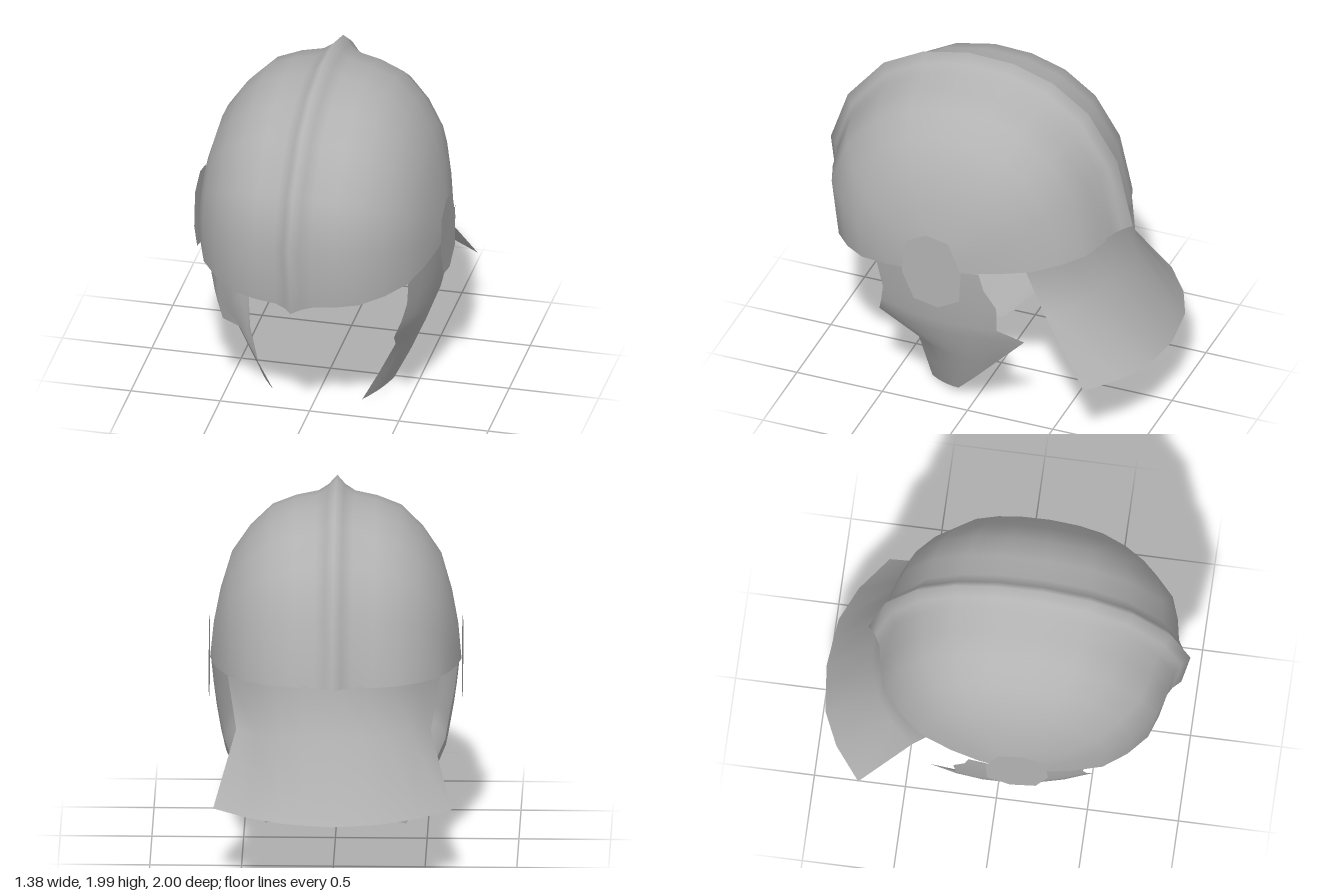
import * as THREE from 'three';
import { mergeVertices } from 'three/addons/utils/BufferGeometryUtils.js';

const steel = new THREE.MeshStandardMaterial({ color: 0xb2b2b2, side: THREE.DoubleSide });
steel.name = 'steel grey';

// Smooth open sheet from rows of [x, y, z] points
function sheet(name, rows) {
  const n = rows[0].length, index = [];
  for (let i = 0; i < rows.length - 1; i++) {
    for (let j = 0; j < n - 1; j++) {
      const a = i * n + j, b = a + 1, c = a + n, d = c + 1;
      index.push(a, b, c, b, d, c);
    }
  }
  let geo = new THREE.BufferGeometry();
  geo.setAttribute('position', new THREE.Float32BufferAttribute(rows.flat(2), 3));
  geo.setIndex(index);
  geo = mergeVertices(geo, 1e-4);
  geo.computeVertexNormals();
  const mesh = new THREE.Mesh(geo, steel);
  mesh.name = name;
  return mesh;
}

// Mirror a half row (outer point first, centre last) to a full row from -x to +x
const mirrorRow = (half) => [
  ...half.map(([x, y, z]) => [-x, y, z]),
  ...half.slice(0, -1).reverse(),
];

// Linear interpolation through [key, value] pairs sorted by key
function lookup(table, t) {
  for (let i = 1; i < table.length; i++) {
    const [k0, v0] = table[i - 1], [k1, v1] = table[i];
    if (t <= k1) return v0 + (v1 - v0) * Math.max(0, (t - k0) / (k1 - k0));
  }
  return table[table.length - 1][1];
}

// Bowl: the crest line shrinks toward a pole on each side, with a raised ridge at x = 0
function bowl() {
  const cy = 1.0, cz = 0.1;
  const crest = [
    [0.95, 0.84], [1.0, 1.24], [0.9, 1.54], [0.69, 1.8], [0.46, 1.93], [0.19, 1.99],
    [-0.07, 1.98], [-0.3, 1.91], [-0.51, 1.76], [-0.68, 1.49], [-0.77, 1.09],
  ];
  const section = [
    [0.685, 0], [0.665, 0.2], [0.63, 0.38], [0.57, 0.58], [0.47, 0.725],
    [0.35, 0.84], [0.22, 0.89], [0.1, 0.915], [0.045, 0.95], [0, 1],
  ];
  return sheet('bowl', crest.map(([z, y]) => mirrorRow(
    section.map(([x, k]) => [x, cy + (y - cy) * k, cz + (z - cz) * k]))));
}

// Flared neck guard
function neckGuard() {
  return sheet('neckGuard', [
    [[0.58, 1.06, -0.37], [0.47, 1.07, -0.53], [0.32, 1.085, -0.635], [0.16, 1.09, -0.685], [0, 1.1, -0.705]],
    [[0.53, 0.77, -0.46], [0.42, 0.785, -0.59], [0.3, 0.8, -0.67], [0.16, 0.81, -0.73], [0, 0.81, -0.745]],
    [[0.65, 0.405, -0.74], [0.46, 0.4, -0.885], [0.27, 0.395, -0.97], [0.14, 0.39, -0.985], [0, 0.387, -1.0]],
  ].map(mirrorRow));
}

// Cheek guard: [front z, front y, back z, back y] per row, bent inward toward the chin
function cheekGuard(side) {
  const edges = [
    [0.52, 0.94, -0.13, 1.03], [0.5, 0.83, -0.155, 0.92], [0.48, 0.72, -0.22, 0.8],
    [0.5, 0.62, -0.21, 0.64], [0.525, 0.53, -0.355, 0.57], [0.31, 0.37, -0.17, 0.36],
    [0.305, 0.18, -0.02, 0.19], [0.305, 0, 0.1, 0.05],
  ];
  const width = [[0, 0.37], [0.05, 0.395], [0.35, 0.525], [0.57, 0.61], [0.8, 0.65], [1.0, 0.675]];
  const bend = [[0, 1.3], [0.37, 1.0], [0.53, 0.42], [1, 0.4]];
  const cols = 6;
  const rows = edges.map(([zf, yf, zb, yb]) => {
    const row = [];
    for (let j = 0; j <= cols; j++) {
      const t = j / cols, z = zb + (zf - zb) * t, y = yb + (yf - yb) * t;
      row.push([side * (lookup(width, y) - lookup(bend, y) * z * z), y, z]);
    }
    return side > 0 ? row : row.reverse();
  });
  return sheet(side > 0 ? 'leftCheekGuard' : 'rightCheekGuard', rows);
}

// Flat eight-sided hinge plate
function hingePlate(side) {
  const outline = [
    [0.29, 1.16], [0.17, 1.225], [0.04, 1.2], [-0.035, 1.02],
    [-0.025, 0.84], [0.1, 0.77], [0.24, 0.8], [0.31, 0.96],
  ];
  const shape = new THREE.Shape(outline.map(([z, y]) => new THREE.Vector2(-side * z, y)));
  const geo = new THREE.ShapeGeometry(shape);
  geo.rotateY(side * Math.PI / 2);
  geo.translate(side * 0.69, 0, 0);
  const mesh = new THREE.Mesh(geo, steel);
  mesh.name = side > 0 ? 'leftHingePlate' : 'rightHingePlate';
  return mesh;
}

export function createModel() {
  const helmet = new THREE.Group();
  helmet.name = 'helmet';
  helmet.add(bowl(), neckGuard());
  for (const side of [1, -1]) helmet.add(cheekGuard(side), hingePlate(side));
  return helmet;
}
